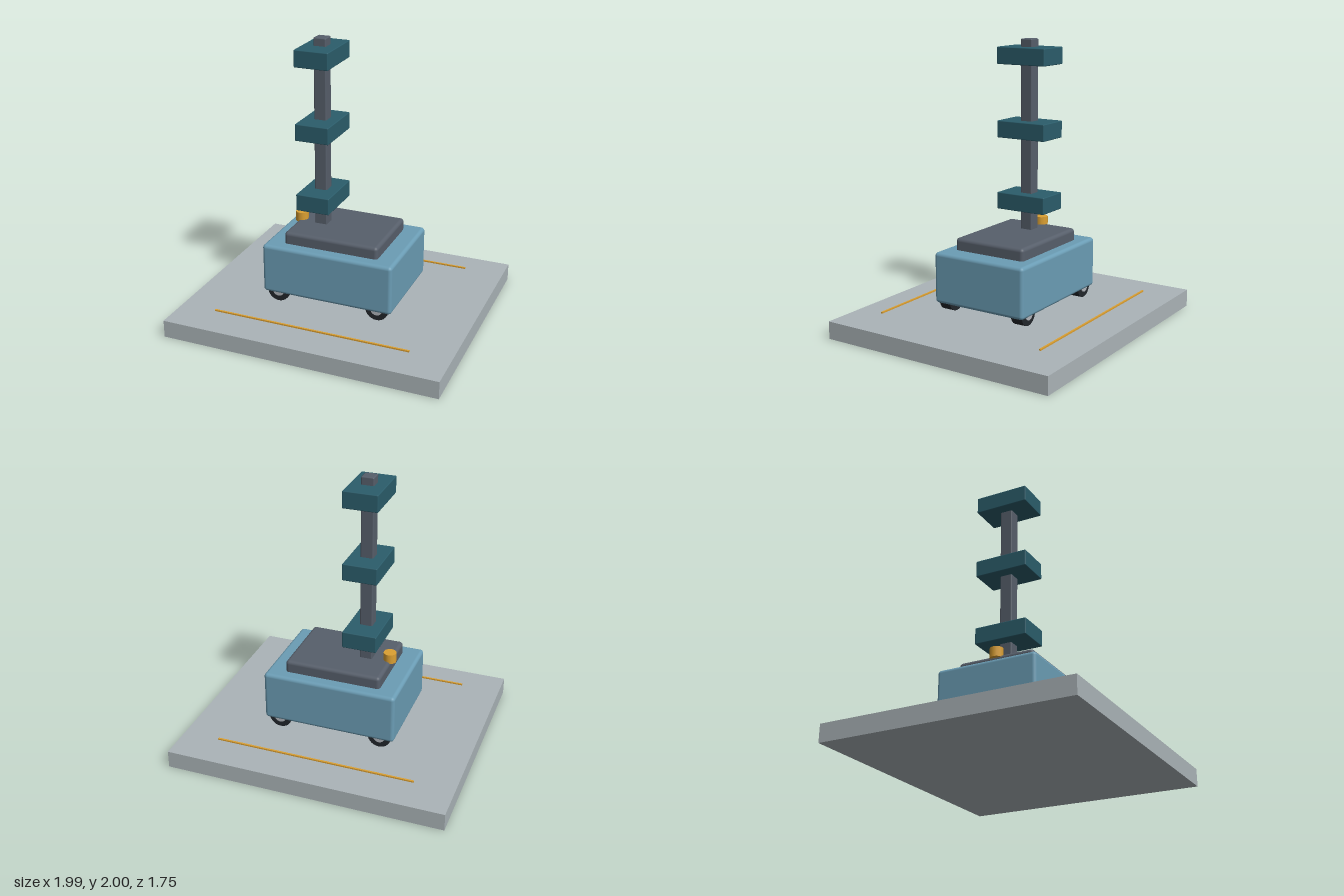
import * as THREE from 'three';
import { RoundedBoxGeometry } from 'three/addons/geometries/RoundedBoxGeometry.js';

const paint = (color) => new THREE.MeshStandardMaterial({ color });
const floorGrey = paint(0xabb4b8);
const blue = paint(0x6b9db5);
const slate = paint(0x575f6b);
const teal = paint(0x2b5d6b);
const amber = paint(0xdca032);
const rubber = paint(0x22262b);
const hubGrey = paint(0xb0b5bb);

export function createModel() {
  const model = new THREE.Group();
  model.name = 'mobileSensorRobot';

  const add = (name, geometry, material, x, y, z, parent = model) => {
    const mesh = new THREE.Mesh(geometry, material);
    mesh.name = name;
    mesh.position.set(x, y, z);
    parent.add(mesh);
    return mesh;
  };

  // Floor slab and the two guide strips hovering just above it
  add('floorSlab', new THREE.BoxGeometry(1.986, 0.125, 1.746), floorGrey, 0, 0.0625, 0);
  for (const side of [-1, 1]) {
    add('guideStrip', new THREE.BoxGeometry(1.43, 0.01, 0.013), amber, 0, 0.15, side * 0.642);
  }

  // Rounded chassis with a raised deck
  add('chassis', new RoundedBoxGeometry(0.96, 0.36, 0.72, 4, 0.025), blue, 0, 0.39, 0);
  add('deck', new RoundedBoxGeometry(0.694, 0.11, 0.552, 4, 0.025), slate, 0, 0.6, 0);

  // Four wheels: a rubber tyre around a pale hub
  for (const x of [-0.37, 0.37]) {
    for (const side of [-1, 1]) {
      const wheel = new THREE.Group();
      wheel.name = 'wheel';
      wheel.position.set(x, 0.228, side * 0.295);
      wheel.rotation.x = Math.PI / 2;
      add('tyre', new THREE.CylinderGeometry(0.083, 0.083, 0.086, 28), rubber, 0, 0, 0, wheel);
      add('hub', new THREE.CylinderGeometry(0.043, 0.043, 0.1, 24), hubGrey, 0, 0, 0, wheel);
      model.add(wheel);
    }
  }

  // Square mast carrying three sensor boxes
  const mastX = -0.167;
  add('mast', new RoundedBoxGeometry(0.09, 1.37, 0.09, 2, 0.008), slate, mastX, 1.315, 0);
  for (const y of [0.857, 1.37, 1.884]) {
    add('sensorBox', new RoundedBoxGeometry(0.245, 0.12, 0.385, 2, 0.006), teal, mastX, y, 0);
  }

  // Warning beacon at the edge of the deck
  add('beacon', new THREE.CylinderGeometry(0.046, 0.046, 0.07, 12), amber, -0.332, 0.675, 0);

  return model;
}
